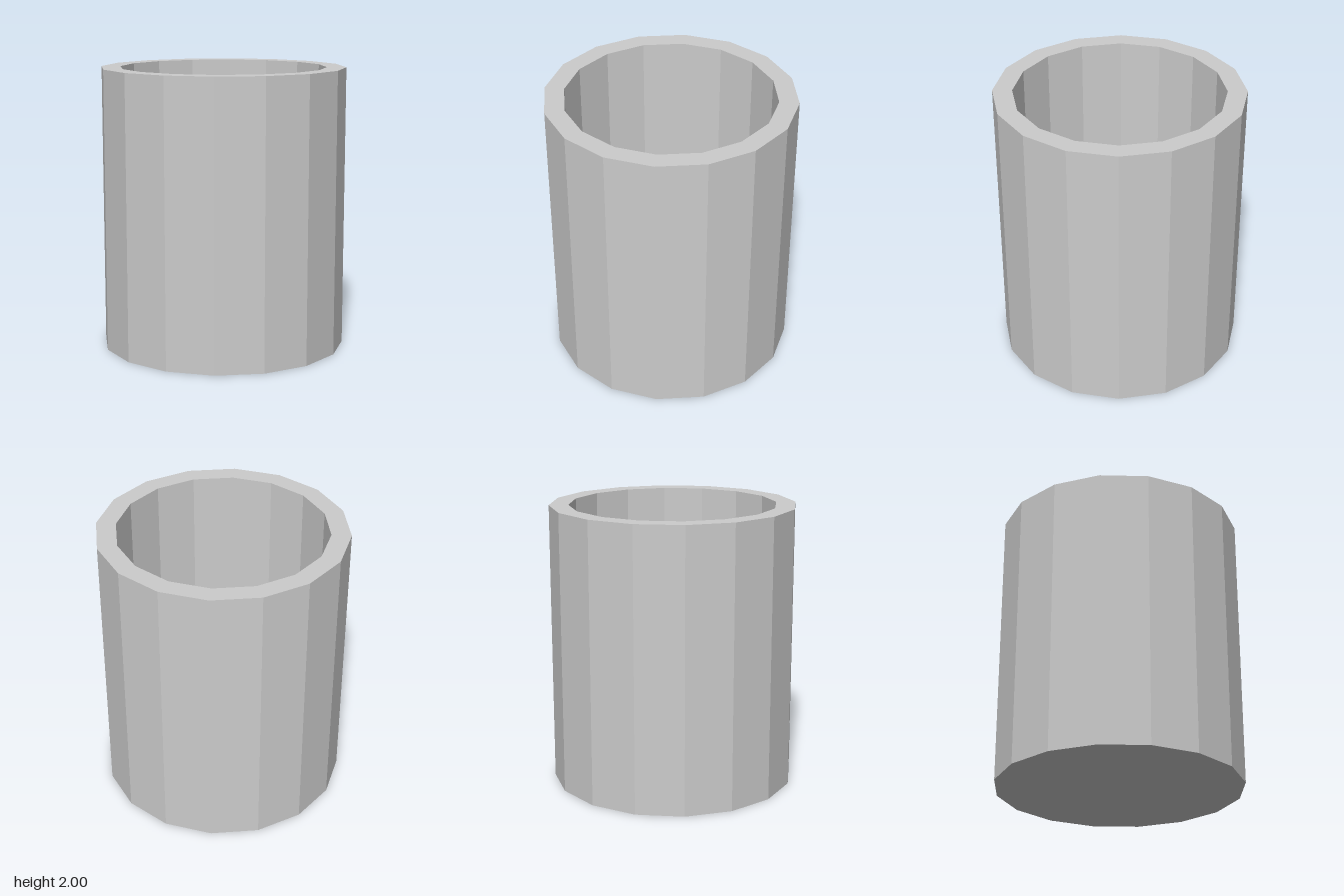
import * as THREE from 'three';

const SIDES = 16;
const OUTER = 0.87;
const INNER = 0.733;
const HEIGHT = 2;
const FLOOR = 0.14; // as thick as the wall

export function createModel() {
  const group = new THREE.Group();
  group.name = 'cup';
  const material = new THREE.MeshStandardMaterial({ color: 0xcccccc, flatShading: true });

  function addPart(name, geometry, y = 0) {
    const faceted = geometry.toNonIndexed();
    faceted.computeVertexNormals();
    const mesh = new THREE.Mesh(faceted, material);
    mesh.name = name;
    mesh.position.y = y;
    group.add(mesh);
    return mesh;
  }

  // Wall: outside, rim and inside turned from one profile
  const profile = [
    [OUTER, 0], [OUTER, HEIGHT], [INNER, HEIGHT], [INNER, FLOOR],
  ].map(([x, y]) => new THREE.Vector2(x, y));
  addPart('wall', new THREE.LatheGeometry(profile, SIDES));

  // Closed bottom: inner floor facing up, underside facing down
  const disc = (radius, tilt) => new THREE.CircleGeometry(radius, SIDES).rotateX(tilt);
  addPart('innerFloor', disc(INNER, -Math.PI / 2), FLOOR);
  addPart('underside', disc(OUTER, Math.PI / 2));

  return group;
}
